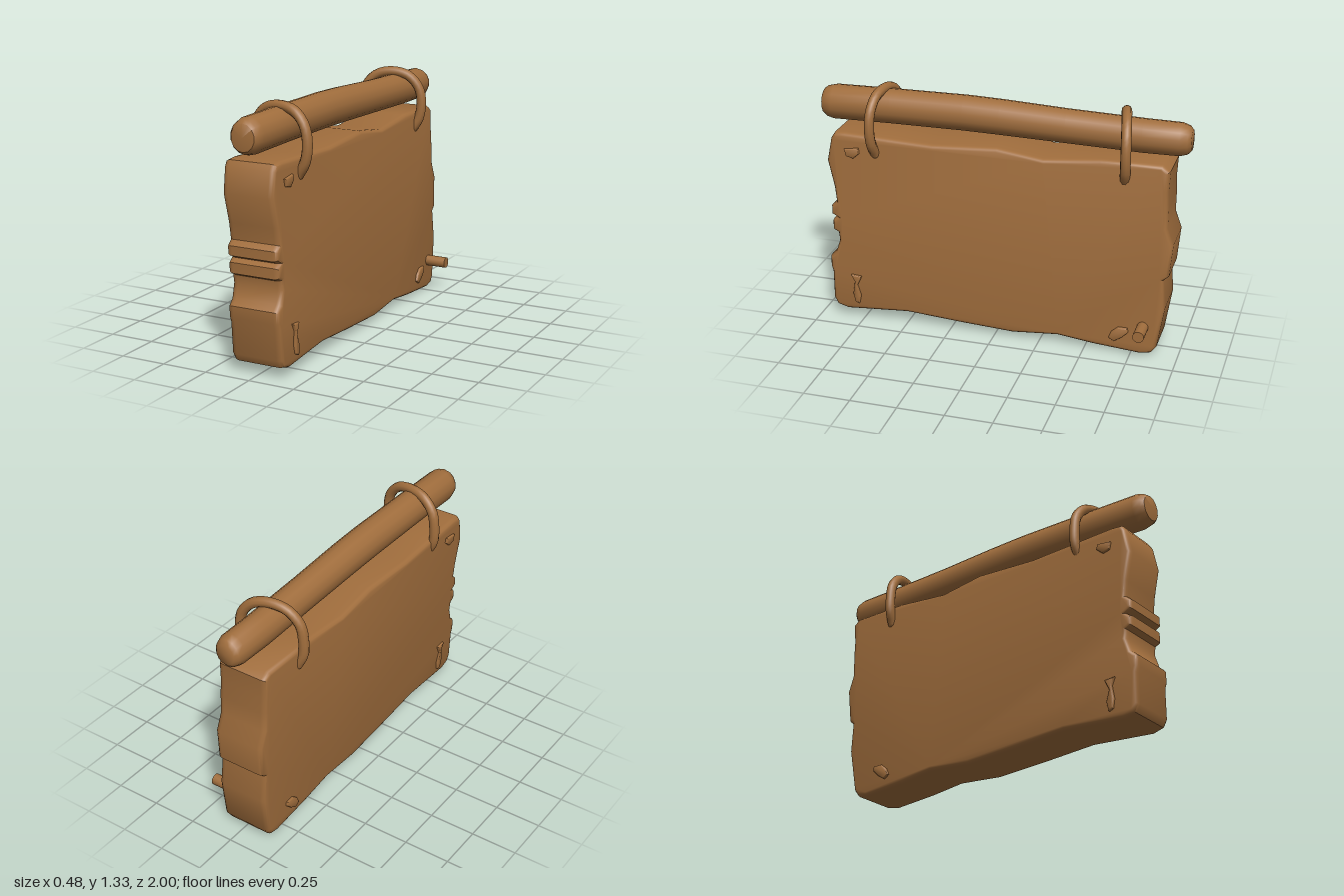
import * as THREE from 'three';
import { toCreasedNormals, mergeVertices } from 'three/addons/utils/BufferGeometryUtils.js';

const wood = new THREE.MeshStandardMaterial({ color: 0xa16e3d });
wood.name = 'wood';

// Board outline as [z, y] pairs, starting at the top front corner
const OUTLINE = [
  [0.9, 1.07], [0.84, 1.075], [0.6, 1.065], [0.35, 1.055], [0, 1.075], [-0.25, 1.04],
  [-0.55, 1.07], [-0.87, 1.07], [-0.91, 1.04], [-0.905, 0.93], [-0.91, 0.84], [-0.91, 0.73],
  [-0.945, 0.64], [-0.93, 0.46], [-0.905, 0.44], [-0.92, 0.28], [-0.885, 0.05],
  [-0.86, 0.015], [-0.8, 0.003], [-0.55, 0.023], [-0.35, 0.048], [-0.1, 0.028],
  [0.2, 0.045], [0.5, 0.067], [0.85, 0.043], [0.91, 0.06], [0.932, 0.1], [0.935, 0.26],
  [0.945, 0.29], [0.945, 0.35], [0.912, 0.38], [0.89, 0.45], [0.895, 0.495], [0.925, 0.51],
  [0.925, 0.565], [0.895, 0.583], [0.93, 0.6], [0.93, 0.65], [0.9, 0.675], [0.91, 0.76],
  [0.945, 0.91], [0.92, 1.04],
];

// Centre plane of the slightly leaning, twisted board
const boardX = (y, z) => -0.022 - 0.035 * (y - 0.5) + 0.0125 * z;

function mapVertices(geo, fn) {
  const p = geo.attributes.position;
  const v = new THREE.Vector3();
  for (let i = 0; i < p.count; i++) {
    fn(v.fromBufferAttribute(p, i));
    p.setXYZ(i, v.x, v.y, v.z);
  }
  geo.computeVertexNormals();
  return geo;
}

function slab(points, half, bevel, bevelSize) {
  const shape = new THREE.Shape(points.map(([z, y]) => new THREE.Vector2(-z, y)));
  const geo = new THREE.ExtrudeGeometry(shape, {
    depth: 2 * (half - bevel), bevelThickness: bevel, bevelSize, bevelOffset: -bevelSize, bevelSegments: 3,
  });
  geo.translate(0, 0, bevel - half).rotateY(Math.PI / 2);
  mapVertices(geo, v => { v.x += boardX(v.y, v.z); });
  return toCreasedNormals(geo, 0.75);
}

export function createModel() {
  const group = new THREE.Group();
  const add = (name, geo) => {
    const mesh = new THREE.Mesh(geo, wood);
    mesh.name = name;
    group.add(mesh);
    return mesh;
  };

  // Weathered plank
  add('board', slab(OUTLINE, 0.143, 0.03, 0.02));

  // Raised splinters on the right face and edge
  const chips = [
    [[-0.63, 0.085], [-0.66, 0.065], [-0.70, 0.09], [-0.735, 0.125], [-0.73, 0.15], [-0.68, 0.15], [-0.645, 0.12]],
    [[0.84, 0.99], [0.76, 1.0], [0.755, 0.97], [0.79, 0.94], [0.83, 0.95]],
    [[0.82, 0.26], [0.76, 0.255], [0.77, 0.23], [0.785, 0.2], [0.765, 0.14], [0.775, 0.09], [0.8, 0.1], [0.81, 0.15], [0.8, 0.22]],
  ];
  chips.forEach((c, i) => add('splinter' + (i + 1), slab(c, 0.156, 0.012, 0.006)));

  // Hanging rod, gently bent and tapered at the ends
  const profile = [
    [0, -1], [0.055, -0.998], [0.075, -0.98], [0.088, -0.94], [0.09, -0.75], [0.091, -0.35], [0.095, 0],
    [0.096, 0.2], [0.095, 0.6], [0.095, 0.93], [0.085, 0.97], [0.07, 0.99], [0, 1],
  ].map(([r, y]) => new THREE.Vector2(r, y));
  const bend = new THREE.CatmullRomCurve3([
    new THREE.Vector3(-0.031, 1.182, -1), new THREE.Vector3(-0.03, 1.184, -0.6),
    new THREE.Vector3(-0.024, 1.2, -0.2), new THREE.Vector3(-0.022, 1.211, 0.2),
    new THREE.Vector3(-0.02, 1.209, 0.6), new THREE.Vector3(-0.019, 1.203, 1),
  ]);
  // Turn the lathe axis from y to z
  const rod = new THREE.LatheGeometry(profile, 14).rotateX(Math.PI / 2);
  mapVertices(rod, v => {
    const c = bend.getPoint(THREE.MathUtils.clamp((v.z + 1) / 2, 0, 1));
    v.x = v.x * 0.93 + c.x;
    v.y += c.y;
  });
  rod.deleteAttribute('uv');
  rod.deleteAttribute('normal');
  add('rod', toCreasedNormals(mergeVertices(rod), 0.8));

  // Two open hoops joining the rod to the board
  const arch = [
    [0.1, 0.975], [0.14, 1.04], [0.155, 1.13], [0.138, 1.22], [0.08, 1.285], [-0.012, 1.306],
    [-0.1, 1.285], [-0.16, 1.22], [-0.178, 1.13], [-0.175, 1.05], [-0.145, 0.985],
  ];
  const hoop = (name, dx, dy, z, slope) => {
    const pts = arch.map(([x, y]) => new THREE.Vector3(x + dx, y + dy, z + slope * x));
    add(name, new THREE.TubeGeometry(new THREE.CatmullRomCurve3(pts), 32, 0.027, 10));
    // Rounded ends
    [pts[0], pts[pts.length - 1]].forEach(p => {
      add(name + 'End', new THREE.SphereGeometry(0.027, 10, 8)).position.copy(p);
    });
  };
  hoop('frontHoop', 0, 0, 0.652, 0.17);
  hoop('backHoop', -0.03, -0.015, -0.655, -0.21);

  // Peg near the lower back corner
  const peg = add('peg', toCreasedNormals(new THREE.CylinderGeometry(0.031, 0.031, 0.16, 12), 0.7));
  peg.rotation.z = -Math.PI / 2;
  peg.position.set(0.16, 0.165, -0.81);

  return group;
}
